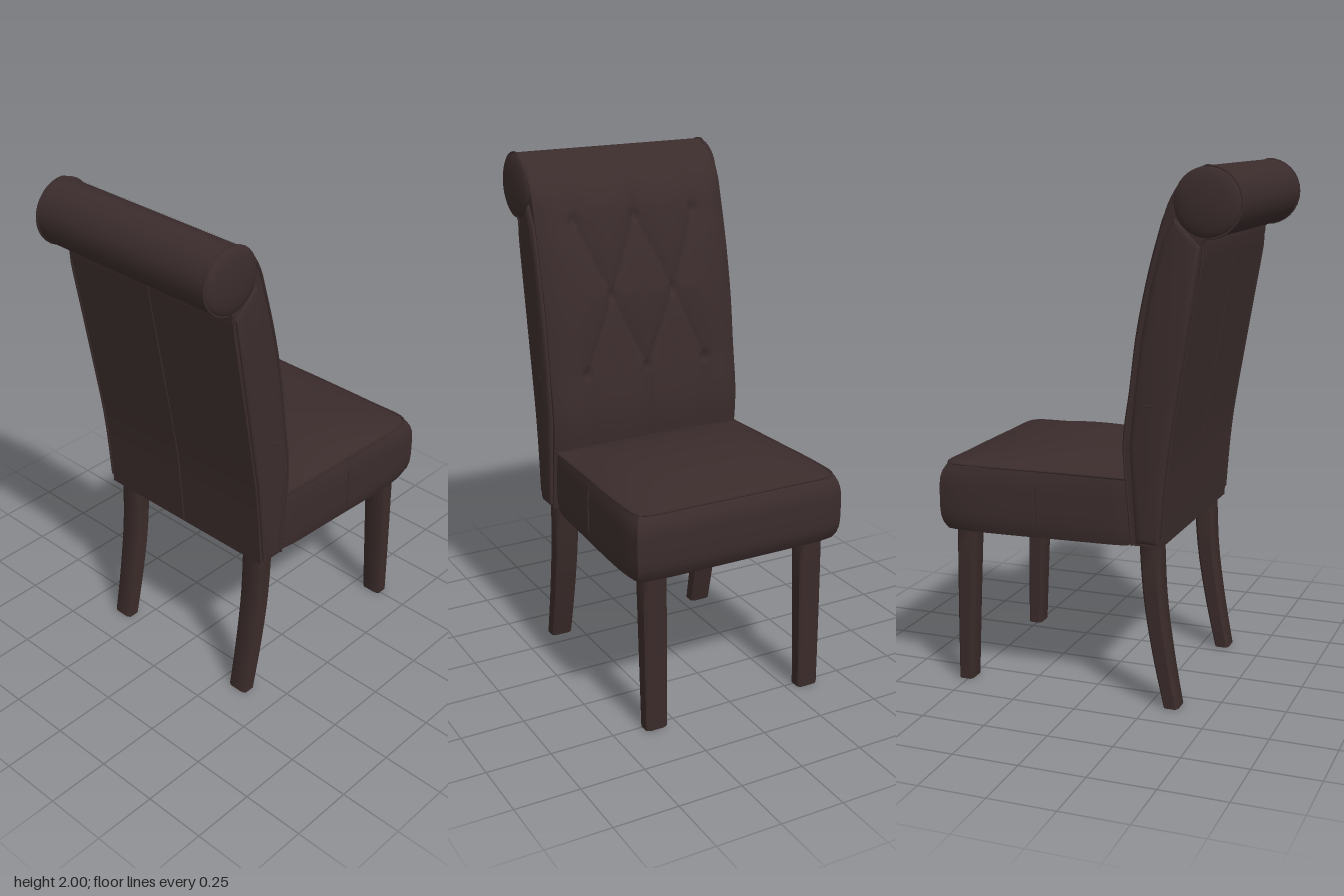
import * as THREE from 'three';
import { toCreasedNormals } from 'three/addons/utils/BufferGeometryUtils.js';

const upholstery = new THREE.MeshStandardMaterial({ name: 'dark brown leather', color: 0x3b2c2c });
const wood = new THREE.MeshStandardMaterial({ name: 'dark wood', color: 0x3a2b2a });
const lining = new THREE.MeshStandardMaterial({ name: 'olive lining', color: 0x746a58 });

const V2 = (x, y) => new THREE.Vector2(x, y);
const V3 = (x, y, z) => new THREE.Vector3(x, y, z);

// Moves every vertex of a geometry by a rule
function reshape(geo, rule) {
  const p = geo.attributes.position, v = new THREE.Vector3();
  for (let i = 0; i < p.count; i++) {
    rule(v.fromBufferAttribute(p, i));
    p.setXYZ(i, v.x, v.y, v.z);
  }
  geo.computeVertexNormals();
  return geo;
}

function tube(points, radius, segments = 60) {
  return new THREE.TubeGeometry(new THREE.CatmullRomCurve3(points), segments, radius, 6);
}

// Backrest outline: front edge, rolled top, neck and rear edge
const SCROLL = { x: -0.467, y: 1.876, r: 0.124 };
const frontEdge = new THREE.SplineCurve([
  V2(-0.195, 0.63), V2(-0.18, 0.8), V2(-0.165, 1.0), V2(-0.19, 1.2), V2(-0.215, 1.4),
  V2(-0.255, 1.6), V2(-0.3, 1.77), V2(-0.335, 1.88), V2(-0.395, 1.965), V2(-0.467, 2.0),
]);

function backOutline() {
  const pts = frontEdge.getPoints(40);
  for (let i = 1; i <= 24; i++) {
    const a = Math.PI / 2 + (i / 24) * Math.PI * 1.02;
    pts.push(V2(SCROLL.x + SCROLL.r * Math.cos(a), SCROLL.y + SCROLL.r * Math.sin(a)));
  }
  const rear = new THREE.SplineCurve([
    V2(-0.46, 1.73), V2(-0.405, 1.4), V2(-0.34, 1.0), V2(-0.32, 0.8), V2(-0.308, 0.63),
  ]);
  return pts.concat(rear.getPoints(14));
}

// Diamond folds between the buttons, as [y, z] pairs
const buttons = [];
const folds = [];
for (const z of [-0.26, 0, 0.26]) {
  buttons.push([1.75, z], [1.17, z]);
  folds.push([[1.75, z], [1.93, z]], [[0.8, z], [1.17, z]]);
}
for (const s of [-1, 1]) {
  const mid = [1.46, s * 0.135];
  buttons.push(mid);
  for (const y of [1.75, 1.17]) for (const z of [0, s * 0.26]) folds.push([mid, [y, z]]);
}

function segmentDistance(y, z, [[ay, az], [by, bz]]) {
  const dy = by - ay, dz = bz - az;
  const t = THREE.MathUtils.clamp(((y - ay) * dy + (z - az) * dz) / (dy * dy + dz * dz), 0, 1);
  return Math.hypot(y - ay - t * dy, z - az - t * dz);
}

// Padding height of the tufted front
function padding(y, z) {
  const d = Math.min(...folds.map((f) => segmentDistance(y, z, f)));
  const b = Math.min(...buttons.map(([by, bz]) => Math.hypot(y - by, z - bz)));
  const edge = 1 - Math.pow(Math.abs(z) / 0.405, 6);
  const top = 1 - THREE.MathUtils.smoothstep(y, 1.78, 1.96);
  const puff = 0.016 + 0.025 * Math.sqrt(Math.min(d / 0.1, 1));
  const dimple = 0.012 * Math.max(0, 1 - b / 0.03);
  return 0.002 + (puff - dimple) * edge * top;
}

function tuftedGeometry() {
  return reshape(new THREE.PlaneGeometry(1, 1, 96, 130), (v) => {
    const t = (v.y + 0.5) * 0.96, z = -v.x * 0.81;
    const p = frontEdge.getPointAt(t), d = frontEdge.getTangentAt(t);
    const h = padding(p.y, z);
    v.set(p.x + d.y * h, p.y - d.x * h, z);
  });
}

// Soft seat block: wider in front, crowned on top, bulging sides
function seatGeometry() {
  return reshape(new THREE.BoxGeometry(2, 2, 2, 24, 10, 24), (v) => {
    const { x: s, y: h, z: w } = v;
    const bulge = 0.02 * (1 - h ** 4);
    const front = s > 0 ? 1.3 : 0.4;
    const half = 0.405 + 0.022 * THREE.MathUtils.smoothstep(s, -0.9, 0.75) - 0.014 * s ** 8;
    const crown = 0.055 * (1 - s * s) * (1 - w ** 4);
    v.x = 0.187 + s * (0.375 + bulge * front - 0.014 * w ** 8);
    v.z = w * (half + bulge * (0.3 + 0.3 * (s + 1)));
    v.y = 0.75 + h * 0.127 + (h > 0 ? h * crown : 0);
  });
}

// Chamfered square leg following a path of [y, x, halfX, halfZ]
function legGeometry(rows) {
  const line = (k) => new THREE.SplineCurve(rows.map((r) => V2(r[0], r[k])));
  const curves = [1, 2, 3].map(line);
  const geo = reshape(new THREE.CylinderGeometry(1, 1, 1, 8, 10, false, Math.PI / 8), (v) => {
    const t = v.y + 0.5;
    const m = Math.max(Math.abs(v.x), Math.abs(v.z));
    const square = (c) => (m < 0.01 ? 0 : Math.sign(c) * Math.pow(Math.abs(c) / m, 0.4));
    const [x, hx, hz] = curves.map((c) => c.getPoint(t).y);
    v.set(x + square(v.x) * hx, curves[0].getPoint(t).x, square(v.z) * hz);
  });
  return toCreasedNormals(geo, 0.9);
}

export function createModel() {
  const model = new THREE.Group();
  model.name = 'chair';
  const add = (name, geo, mat, x = 0, y = 0, z = 0) => {
    const mesh = new THREE.Mesh(geo, mat);
    mesh.name = name;
    mesh.position.set(x, y, z);
    model.add(mesh);
    return mesh;
  };

  // Backrest
  const outline = backOutline();
  const body = new THREE.ExtrudeGeometry(new THREE.Shape(outline), { depth: 0.81, bevelEnabled: false });
  add('backrest', toCreasedNormals(body, 0.6), upholstery, 0, 0, -0.405);
  add('tuftedFront', tuftedGeometry(), upholstery);
  for (const [y, z] of buttons) {
    let t = 0;
    while (frontEdge.getPointAt(t).y < y) t += 0.005;
    const p = frontEdge.getPointAt(t);
    const button = add('button', new THREE.SphereGeometry(0.008, 10, 6), upholstery, p.x + padding(y, z), y, z);
    button.scale.x = 0.5;
  }
  add('rearSeam', tube([V3(-0.457, 1.72, 0), V3(-0.405, 1.4, 0), V3(-0.34, 1, 0),
    V3(-0.32, 0.8, 0), V3(-0.309, 0.64, 0)], 0.004), upholstery);

  // Padded sides, scroll ends and edge piping
  const sideShape = new THREE.Shape([
    V2(-0.21, 0.64), V2(-0.185, 1.0), V2(-0.205, 1.2), V2(-0.23, 1.4), V2(-0.268, 1.6),
    V2(-0.305, 1.74), V2(-0.35, 1.82), V2(-0.445, 1.72), V2(-0.395, 1.4), V2(-0.332, 1.0),
    V2(-0.312, 0.8), V2(-0.298, 0.64),
  ]);
  const sideGeo = toCreasedNormals(new THREE.ExtrudeGeometry(sideShape, {
    depth: 0.002, bevelThickness: 0.015, bevelSize: 0.025, bevelOffset: -0.025, bevelSegments: 4,
  }), 0.7);
  for (const s of [-1, 1]) {
    add('sidePad', sideGeo, upholstery, 0, 0, s * 0.404 - 0.001);
    const end = add('scrollEnd', new THREE.SphereGeometry(0.122, 32, 16), upholstery, SCROLL.x, SCROLL.y, s * 0.405);
    end.scale.z = 0.23;
    const trim = outline.filter((p, i) => i % 2 === 0).map((p) => V3(p.x, p.y, s * 0.406));
    add('backPiping', tube(trim, 0.005, 120), upholstery);
    add('sideTuck', tube([V3(-0.295, 1.165, s * 0.416), V3(-0.25, 1.155, s * 0.418),
      V3(-0.21, 1.17, s * 0.41)], 0.005, 12), upholstery);
  }

  // Seat
  add('seat', seatGeometry(), upholstery);
  const rim = [V3(-0.17, 0.876, 0.402), V3(0.15, 0.878, 0.413), V3(0.42, 0.878, 0.422),
    V3(0.53, 0.878, 0.413), V3(0.553, 0.878, 0.39), V3(0.56, 0.878, 0.2)];
  const rimLoop = [...rim, ...rim.map((p) => V3(p.x, p.y, -p.z)).reverse()];
  add('seatPiping', tube(rimLoop, 0.005, 120), upholstery);
  for (const s of [-1, 1]) {
    add('seatSideSeam', tube([V3(0.17, 0.87, s * 0.416), V3(0.172, 0.82, s * 0.427),
      V3(0.172, 0.75, s * 0.429), V3(0.17, 0.68, s * 0.427), V3(0.168, 0.63, s * 0.416)], 0.004, 20), upholstery);
  }
  add('seatLining', new THREE.BoxGeometry(0.64, 0.008, 0.76), lining, 0.19, 0.623, 0);

  // Legs: straight in front, swept back at the rear
  const frontLeg = legGeometry([[0, 0.511, 0.029, 0.043], [0.32, 0.503, 0.034, 0.046], [0.64, 0.493, 0.039, 0.048]]);
  const rearLeg = legGeometry([[0, -0.337, 0.029, 0.043], [0.2, -0.297, 0.033, 0.045],
    [0.42, -0.264, 0.036, 0.047], [0.64, -0.25, 0.039, 0.048]]);
  for (const s of [-1, 1]) {
    add('frontLeg', frontLeg, wood, 0, 0, s * 0.335);
    add('rearLeg', rearLeg, wood, 0, 0, s * 0.335);
  }
  return model;
}
